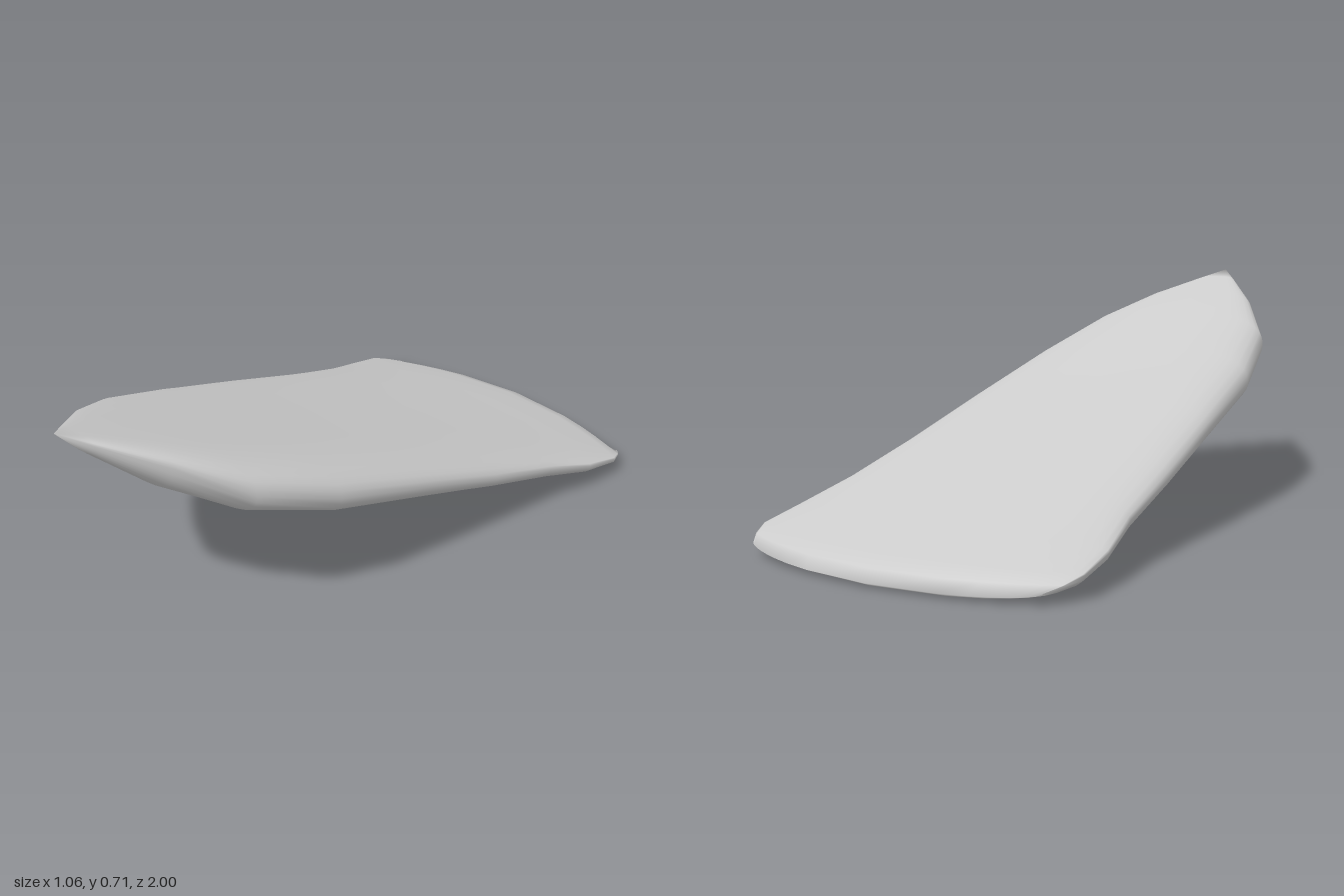
import * as THREE from 'three';
import { mergeVertices } from 'three/addons/utils/BufferGeometryUtils.js';

// Cross-sections from nose to tail:
// centre z, half width, rim height, top height, bottom height, forward sweep of the rim
const SECTIONS = [
  [1.0, 0, 0.71, 0.71, 0.71, 0],
  [0.93, 0.07, 0.67, 0.688, 0.635, 0],
  [0.79, 0.2, 0.598, 0.642, 0.51, 0],
  [0.62, 0.327, 0.49, 0.582, 0.405, 0],
  [0.37, 0.395, 0.397, 0.492, 0.31, 0],
  [0.04, 0.432, 0.3, 0.375, 0.217, 0],
  [-0.26, 0.458, 0.205, 0.275, 0.133, 0.01],
  [-0.54, 0.482, 0.137, 0.185, 0.06, 0.04],
  [-0.77, 0.52, 0.092, 0.115, 0.016, 0.1],
  [-0.92, 0.53, 0.066, 0.072, 0.001, 0.12],
  [-0.975, 0.508, 0.05, 0.047, 0.003, 0.12],
  [-1.0, 0.475, 0.035, 0.015, 0.015, 0.1],
];
const SIDES = 32;

function shellGeometry() {
  const positions = [];
  const indices = [];
  for (const [z, w, rim, top, bottom, sweep] of SECTIONS) {
    for (let j = 0; j < SIDES; j++) {
      const t = (j / SIDES) * Math.PI * 2;
      const c = Math.cos(t);
      const s = Math.sin(t);
      // broad, nearly flat faces with a rounded rim
      const u = Math.abs(c) < 1e-6 ? 0 : Math.sign(c) * Math.abs(c) ** 0.5;
      const v = Math.abs(s) < 1e-6 ? 0 : Math.abs(s) ** 0.9;
      const y = rim + ((s > 0 ? top : bottom) - rim) * v;
      positions.push(u * w, y, z + sweep * u * u);
    }
  }
  for (let i = 0; i < SECTIONS.length - 1; i++) {
    for (let j = 0; j < SIDES; j++) {
      const k = (j + 1) % SIDES;
      const a = i * SIDES + j, b = i * SIDES + k;
      const c = a + SIDES, d = b + SIDES;
      if (i > 0) indices.push(a, c, b); // the nose closes to a point
      indices.push(b, c, d);
    }
  }
  let geometry = new THREE.BufferGeometry();
  geometry.setAttribute('position', new THREE.Float32BufferAttribute(positions, 3));
  geometry.setIndex(indices);
  geometry = mergeVertices(geometry, 1e-5);
  geometry.computeVertexNormals();
  return geometry;
}

export function createModel() {
  const group = new THREE.Group();
  group.name = 'pointedShell';
  const material = new THREE.MeshStandardMaterial({ color: 0xcccccc });
  material.name = 'light grey';
  const shell = new THREE.Mesh(shellGeometry(), material);
  shell.name = 'shell';
  group.add(shell);
  return group;
}
